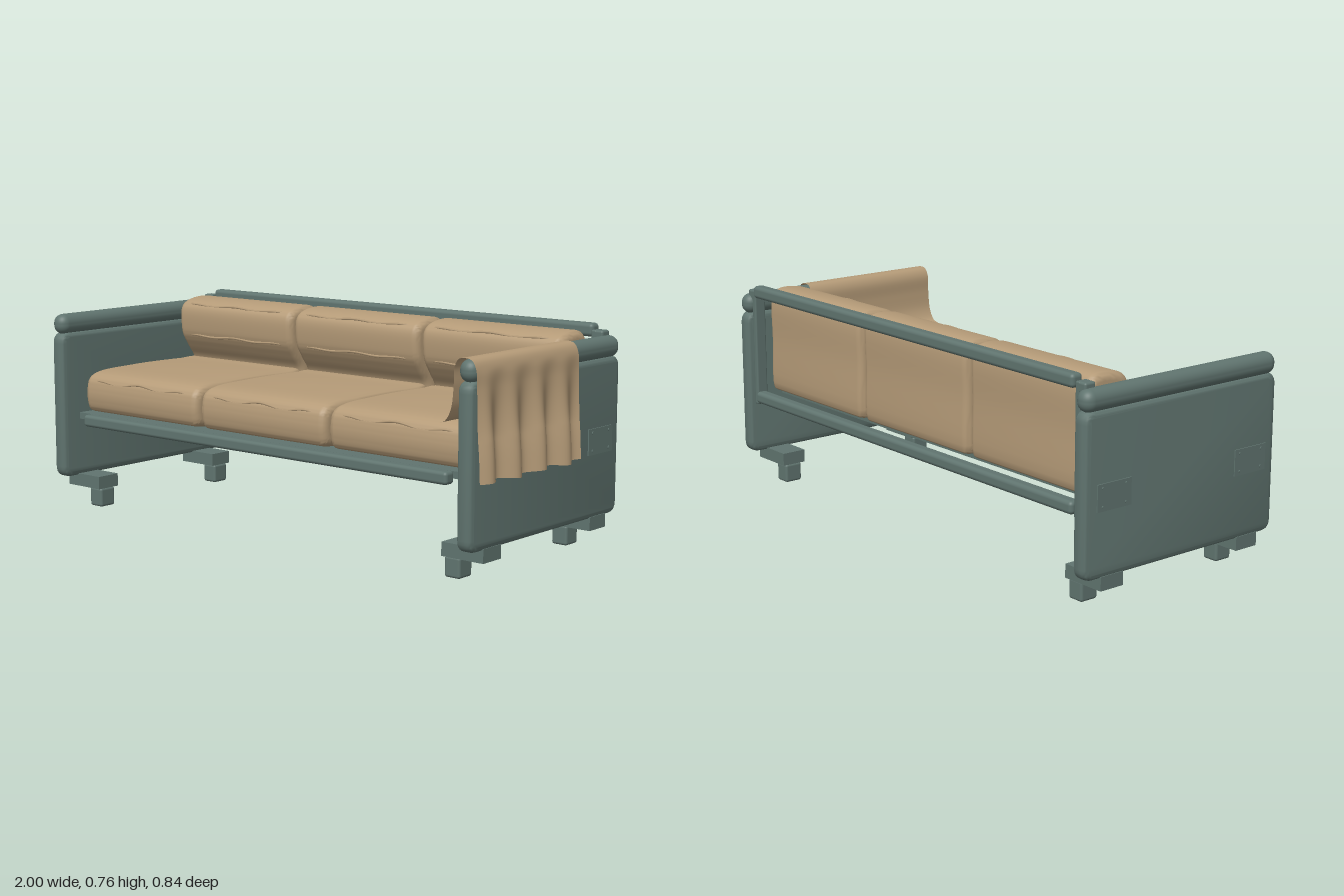
import * as THREE from 'three';
import { toCreasedNormals } from 'three/addons/utils/BufferGeometryUtils.js';
import { RoundedBoxGeometry } from 'three/addons/geometries/RoundedBoxGeometry.js';

const mat = (name, color, extra = {}) => {
  const m = new THREE.MeshStandardMaterial({ color, ...extra });
  m.name = name;
  return m;
};

export function createModel() {
  const green = mat('greenFrame', 0x60746f);
  const tan = mat('tanFabric', 0xb59b78, { side: THREE.DoubleSide });
  const model = new THREE.Group();
  model.name = 'sofa';
  const CX = -0.0265; // middle of the frame; the throw overhangs on one side

  const add = (name, geo, material, parent = model) => {
    const m = new THREE.Mesh(geo, material);
    m.name = name;
    parent.add(m);
    return m;
  };
  // Box given by its min and max corners, optionally rounded
  const box = (name, a, b, r = 0, parent = model) => {
    const s = a.map((v, i) => Math.abs(b[i] - v));
    const geo = r ? new RoundedBoxGeometry(...s, 4, r) : new THREE.BoxGeometry(...s);
    const m = add(name, geo, green, parent);
    m.position.set(...a.map((v, i) => (v + b[i]) / 2));
    return m;
  };

  // Arm panels with top bolster, feet, bolted plates and rear post
  for (const s of [-1, 1]) {
    const arm = new THREE.Group();
    arm.name = s > 0 ? 'leftArm' : 'rightArm';
    arm.position.x = CX;
    model.add(arm);
    const part = (name, x0, x1, y0, y1, z0, z1, r) =>
      box(name, [s * x0, y0, z0], [s * x1, y1, z1], r, arm);

    // Panel outline with rounded corners and softened edges
    const d = 0.42, lo = 0.11, hi = 0.652, c = 0.04;
    const outline = new THREE.Shape();
    outline.moveTo(-d + c, lo).lineTo(d - c, lo).quadraticCurveTo(d, lo, d, lo + c);
    outline.lineTo(d, hi - c).quadraticCurveTo(d, hi, d - c, hi);
    outline.lineTo(-d + c, hi).quadraticCurveTo(-d, hi, -d, hi - c);
    outline.lineTo(-d, lo + c).quadraticCurveTo(-d, lo, -d + c, lo);
    const geo = new THREE.ExtrudeGeometry(outline, {
      depth: 0.024, bevelSize: 0.018, bevelThickness: 0.018, bevelOffset: -0.018, bevelSegments: 4, curveSegments: 6,
    });
    geo.translate(0, 0, -0.012).rotateY(-Math.PI / 2);
    add('armPanel', toCreasedNormals(geo, 0.7), green, arm).position.x = s * 0.936;

    part('armBolster', 0.902, 0.971, 0.645, 0.72, -0.42, 0.42, 0.034);
    part('rearPost', 0.888, 0.91, 0.3, 0.737, -0.398, -0.354, 0.006);
    part('postCap', 0.89, 0.935, 0.7, 0.737, -0.398, -0.354, 0.008);
    for (const f of [-1, 1]) {
      part('footBracket', 0.8, 0.965, 0.07, 0.117, f * 0.255, f * 0.35, 0);
      part('foot', 0.802, 0.864, 0, 0.07, f * 0.269, f * 0.338, 0.009);
      part('sidePlate', 0.964, 0.97, 0.331, 0.42, f * 0.231, f * 0.373, 0);
      for (const dz of [-0.049, 0.049]) for (const y of [0.345, 0.406]) {
        const bolt = add('bolt', new THREE.CylinderGeometry(0.005, 0.005, 0.006, 12), green, arm);
        bolt.rotation.z = Math.PI / 2;
        bolt.position.set(s * 0.97, y, f * 0.302 + dz);
      }
    }
  }

  // Rails and seat deck
  box('topBackRail', [-0.913, 0.711, -0.408], [0.863, 0.757, -0.362], 0.014);
  box('lowerBackRail', [-0.913, 0.308, -0.408], [0.863, 0.352, -0.362], 0.014);
  box('frontRail', [-0.868, 0.308, 0.34], [0.816, 0.351, 0.385], 0.012);
  box('seatDeck', [-0.935, 0.325, -0.28], [0.882, 0.349, 0.342]);

  // Cushion: a smooth (z, y) profile swept along x with soft ends
  const cushionGeo = (pts, width, soft) => {
    const curve = new THREE.CatmullRomCurve3(pts.map(([z, y]) => new THREE.Vector3(z, y, 0)), true, 'centripetal');
    const shape = new THREE.Shape(curve.getPoints(72).slice(0, -1).map(p => new THREE.Vector2(p.x, p.y)));
    const geo = new THREE.ExtrudeGeometry(shape, {
      depth: width - 2 * soft, bevelSize: soft, bevelThickness: soft, bevelOffset: -soft, bevelSegments: 5,
    });
    geo.translate(0, 0, soft - width / 2).rotateY(-Math.PI / 2);
    return toCreasedNormals(geo, 0.9);
  };
  const seatProfile = [
    [-0.23, 0.353], [0, 0.351], [0.29, 0.352], [0.322, 0.362], [0.335, 0.4], [0.335, 0.445],
    [0.325, 0.478], [0.295, 0.498], [0.1, 0.51], [-0.15, 0.508], [-0.23, 0.505], [-0.238, 0.48], [-0.238, 0.38],
  ];
  const backProfile = [
    [-0.325, 0.353], [-0.24, 0.353], [-0.232, 0.365], [-0.232, 0.5], [-0.2, 0.55], [-0.172, 0.595],
    [-0.164, 0.63], [-0.165, 0.7], [-0.185, 0.725], [-0.25, 0.741], [-0.31, 0.736], [-0.333, 0.71],
    [-0.336, 0.55], [-0.335, 0.365],
  ];
  const W = 0.582;
  const seatGeo = cushionGeo(seatProfile, W, 0.028);
  const backGeo = cushionGeo(backProfile, W, 0.026);
  // Gently wavy seam across the cushion front
  const seamGeo = (y, z, wave) => {
    const pts = [];
    for (let i = 0; i <= 14; i++) {
      const t = i / 7 - 1;
      pts.push(new THREE.Vector3(t * (W / 2 - 0.02), y + wave * Math.sin(i * 1.15) - wave * t * t, z - 0.012 * t ** 8));
    }
    return new THREE.TubeGeometry(new THREE.CatmullRomCurve3(pts), 48, 0.0045, 6);
  };
  const seams = [seamGeo(0.471, 0.327, 0.006), seamGeo(0.718, -0.177, 0.003), seamGeo(0.6, -0.17, 0.003)];
  for (const i of [-1, 0, 1]) {
    const bay = new THREE.Group();
    bay.name = 'cushionBay';
    bay.position.x = -0.024 + i * 0.597;
    model.add(bay);
    add('seatCushion', seatGeo, tan, bay);
    add('backCushion', backGeo, tan, bay);
    seams.forEach(g => add('cushionSeam', g, tan, bay));
  }

  // Throw draped over the left arm: (x, y) path with folds growing toward the outer hem
  const path = new THREE.CatmullRomCurve3([
    [0.805, 0.512], [0.835, 0.522], [0.858, 0.56], [0.868, 0.63], [0.871, 0.695], [0.888, 0.721],
    [0.912, 0.725], [0.938, 0.719], [0.954, 0.69], [0.959, 0.63], [0.966, 0.5], [0.973, 0.42], [0.977, 0.338],
  ].map(([x, y]) => new THREE.Vector3(x, y, 0)), false, 'centripetal');
  const cloth = new THREE.PlaneGeometry(1, 1, 64, 64);
  const pos = cloth.attributes.position;
  for (let i = 0; i < pos.count; i++) {
    const z = 0.14 - 0.56 * pos.getX(i);
    const p = path.getPointAt(0.5 - pos.getY(i));
    const outer = p.x > 0.94 ? THREE.MathUtils.clamp((0.69 - p.y) / 0.22, 0, 1) : 0;
    const fold = Math.cos(2 * Math.PI * (z - 0.1) / 0.14);
    pos.setXYZ(i, p.x + 0.02 * outer * fold, p.y + 0.003 * outer * Math.sin(z * 23), z);
  }
  cloth.computeVertexNormals();
  add('throwBlanket', cloth, tan);

  return model;
}
